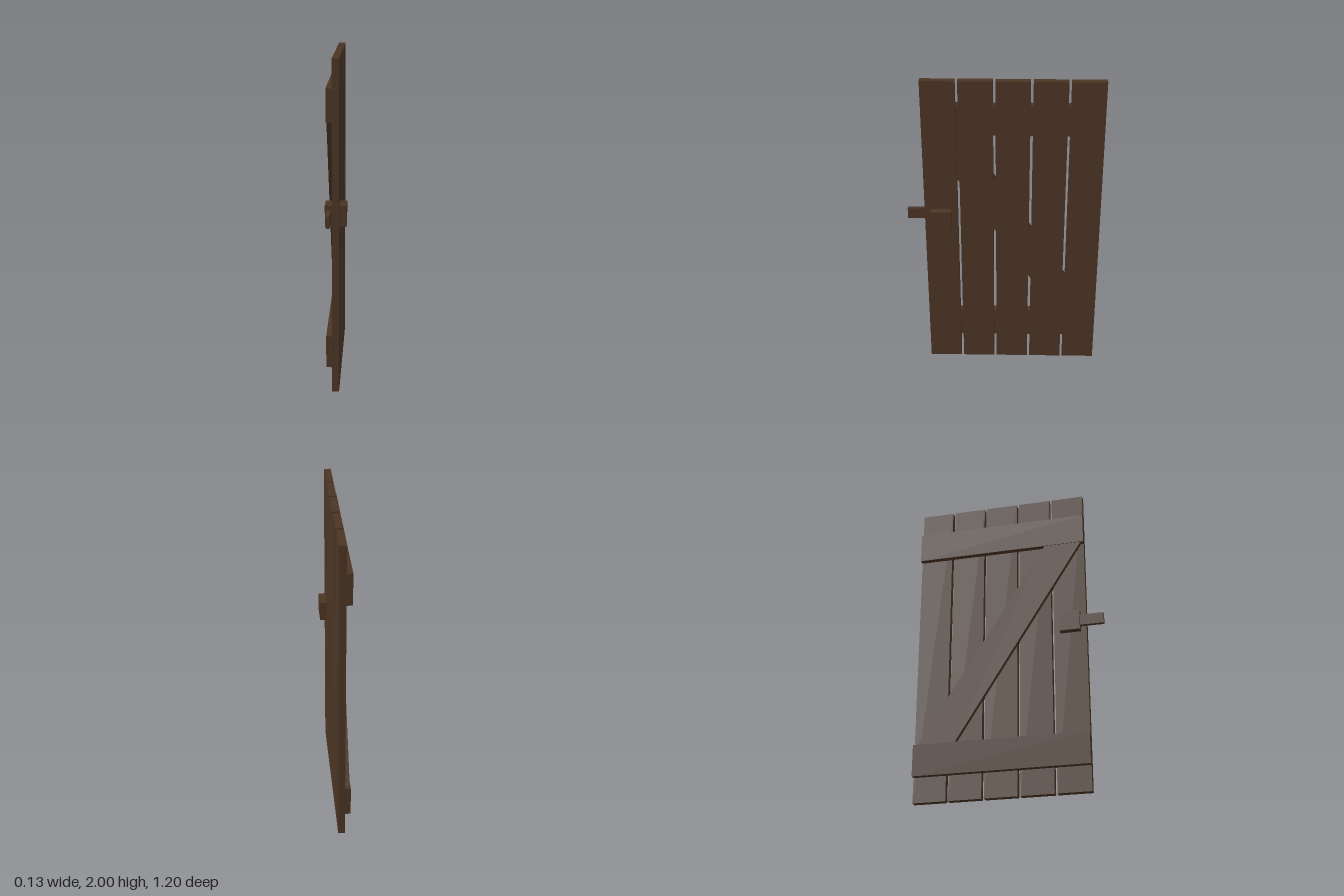
import * as THREE from 'three';

export function createModel() {
  const door = new THREE.Group();
  door.name = 'plankDoor';
  const wood = new THREE.MeshStandardMaterial({ color: 0x4b3524 });
  wood.name = 'darkWood';

  // Box given by its limits on each axis
  function box(name, [x0, x1], [y0, y1], [z0, z1]) {
    const mesh = new THREE.Mesh(new THREE.BoxGeometry(x1 - x0, y1 - y0, z1 - z0), wood);
    mesh.position.set((x0 + x1) / 2, (y0 + y1) / 2, (z0 + z1) / 2);
    mesh.name = name;
    door.add(mesh);
  }

  // Five upright planks with narrow gaps
  const width = 0.205, pitch = 0.2207;
  for (let i = 0; i < 5; i++) {
    const z = -0.6 + i * pitch;
    box(`plank${i + 1}`, [-0.022, 0.02], [0, 2], [z, z + width]);
  }

  // Horizontal rails, let slightly into the planks
  const railLow = [0.157, 0.355], railHigh = [1.64, 1.835];
  box('lowerRail', [-0.057, -0.012], railLow, [-0.6, 0.49]);
  box('upperRail', [-0.057, -0.012], railHigh, [-0.6, 0.49]);

  // Diagonal brace between the rails: shape drawn as (-z, y), turned to face x
  const brace = new THREE.Shape([
    [0.572, 0.355], [0.337, 0.355], [-0.471, 1.64], [-0.236, 1.64],
  ].map(([u, v]) => new THREE.Vector2(u, v)));
  const braceGeometry = new THREE.ExtrudeGeometry(brace, { depth: 0.041, bevelEnabled: false });
  braceGeometry.rotateY(Math.PI / 2);
  const braceMesh = new THREE.Mesh(braceGeometry, wood);
  braceMesh.position.x = -0.053;
  braceMesh.name = 'diagonalBrace';
  door.add(braceMesh);

  // Handle block through the door, and the latch bar beyond its edge
  box('handleBlock', [-0.065, 0.062], [1.02, 1.148], [0.324, 0.452]);
  box('latchBar', [-0.054, -0.03], [1.05, 1.12], [0.4, 0.6]);

  return door;
}
